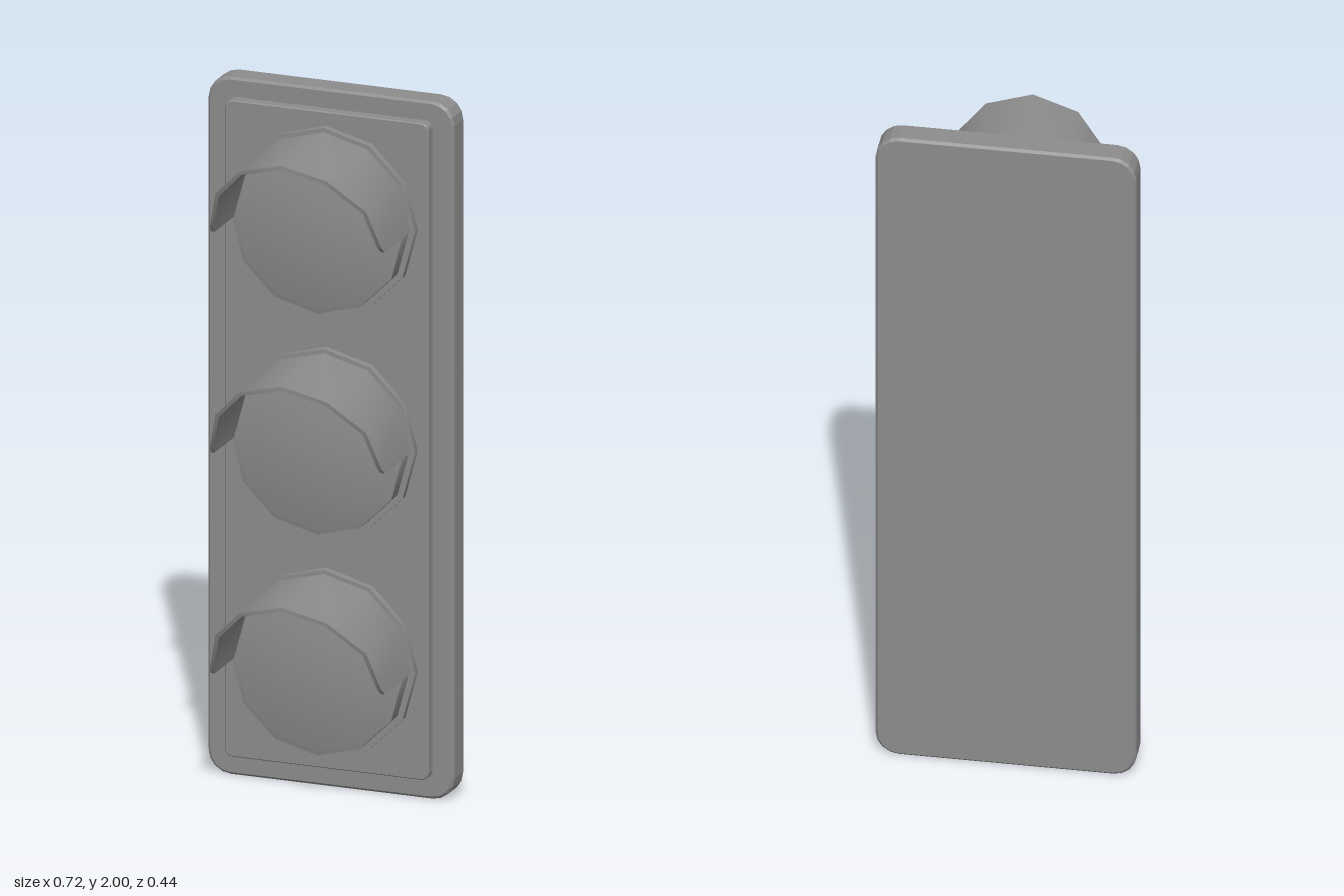
import * as THREE from 'three';
import { toCreasedNormals } from 'three/addons/utils/BufferGeometryUtils.js';

const CREASE = 0.6; // keeps 30 degree facets smooth, sharper edges crisp

// Upright slab with two-step rounded corners and a small bevel on both faces
function slab(halfW, y0, y1, z0, z1, r, bevel) {
  const w = halfW - bevel, b = y0 + bevel, t = y1 - bevel, q = Math.PI / 2;
  const s = new THREE.Shape();
  s.absarc(w - r, t - r, r, 0, q);
  s.absarc(-w + r, t - r, r, q, 2 * q);
  s.absarc(-w + r, b + r, r, 2 * q, 3 * q);
  s.absarc(w - r, b + r, r, 3 * q, 4 * q);
  s.closePath();
  const g = new THREE.ExtrudeGeometry(s, {
    depth: z1 - z0 - 2 * bevel, curveSegments: 2,
    bevelEnabled: true, bevelThickness: bevel, bevelSize: bevel, bevelSegments: 1,
  });
  return g.translate(0, 0, z0 + bevel);
}

// Twelve-sided turned part whose axis points to the front; points are [radius, z]
function turned(points) {
  const g = new THREE.LatheGeometry(points.map(([r, z]) => new THREE.Vector2(r, z)), 12);
  return toCreasedNormals(g.rotateX(Math.PI / 2), CREASE);
}

// Half-round visor with thickness; its front edge sweeps back towards the sides
function visorGeometry() {
  const R = 0.255, inner = 0.243 / R, back = -0.094;
  const half = [[0, R, 0.221], [0.1275, 0.2208, 0.207], [0.2208, 0.1275, 0.152],
    [0.25, 0.02, 0.118], [R, 0, 0.1]];
  const stations = [...half.slice(1).reverse().map(([x, y, z]) => [-x, y, z]), ...half];
  const pos = [], idx = [];
  // Each section loops: outer back, outer front, inner front, inner back
  for (const [x, y, z] of stations) {
    pos.push(x, y, back, x, y, z, x * inner, y * inner, z, x * inner, y * inner, back);
  }
  for (let i = 0; i < stations.length - 1; i++) {
    for (let k = 0; k < 4; k++) {
      const a = i * 4 + k, b = i * 4 + (k + 1) % 4;
      idx.push(a, b, b + 4, a, b + 4, a + 4);
    }
  }
  const e = (stations.length - 1) * 4;
  idx.push(0, 2, 1, 0, 3, 2, e, e + 1, e + 2, e, e + 2, e + 3);
  const g = new THREE.BufferGeometry();
  g.setAttribute('position', new THREE.Float32BufferAttribute(pos, 3));
  g.setIndex(idx);
  return toCreasedNormals(g, CREASE);
}

export function createModel() {
  const grey = new THREE.MeshStandardMaterial({ color: 0x8c8c8c, side: THREE.DoubleSide });
  grey.name = 'grey';
  const model = new THREE.Group();
  model.name = 'signalLight';

  const add = (parent, name, geometry) => {
    const mesh = new THREE.Mesh(geometry, grey);
    mesh.name = name;
    parent.add(mesh);
  };

  // Backing board and raised front panel
  add(model, 'backBoard', slab(0.36, 0, 2, -0.224, -0.146, 0.058, 0.007));
  add(model, 'frontPanel', slab(0.298, 0.062, 1.945, -0.15, -0.115, 0.018, 0.003));

  // Base ring, lens rim, domed lens and visor, shared by the three lamps
  const ring = turned([[0.267, -0.116], [0.267, -0.094], [0.24, -0.094]]);
  const rim = turned([[0.25, -0.1], [0.25, -0.045], [0.238, -0.042]]);
  const dome = [0.238, 0.2, 0.15, 0.1, 0.05, 0].map(
    (r) => [r, -0.016 - 0.026 * (r / 0.238) ** 2]);
  const lens = turned(dome);
  const visor = visorGeometry();

  ['bottomLamp', 'middleLamp', 'topLamp'].forEach((name, i) => {
    const lamp = new THREE.Group();
    lamp.name = name;
    lamp.position.y = 0.371 + i * 0.6335;
    add(lamp, 'baseRing', ring);
    add(lamp, 'lensRim', rim);
    add(lamp, 'lens', lens);
    add(lamp, 'visor', visor);
    model.add(lamp);
  });
  return model;
}
